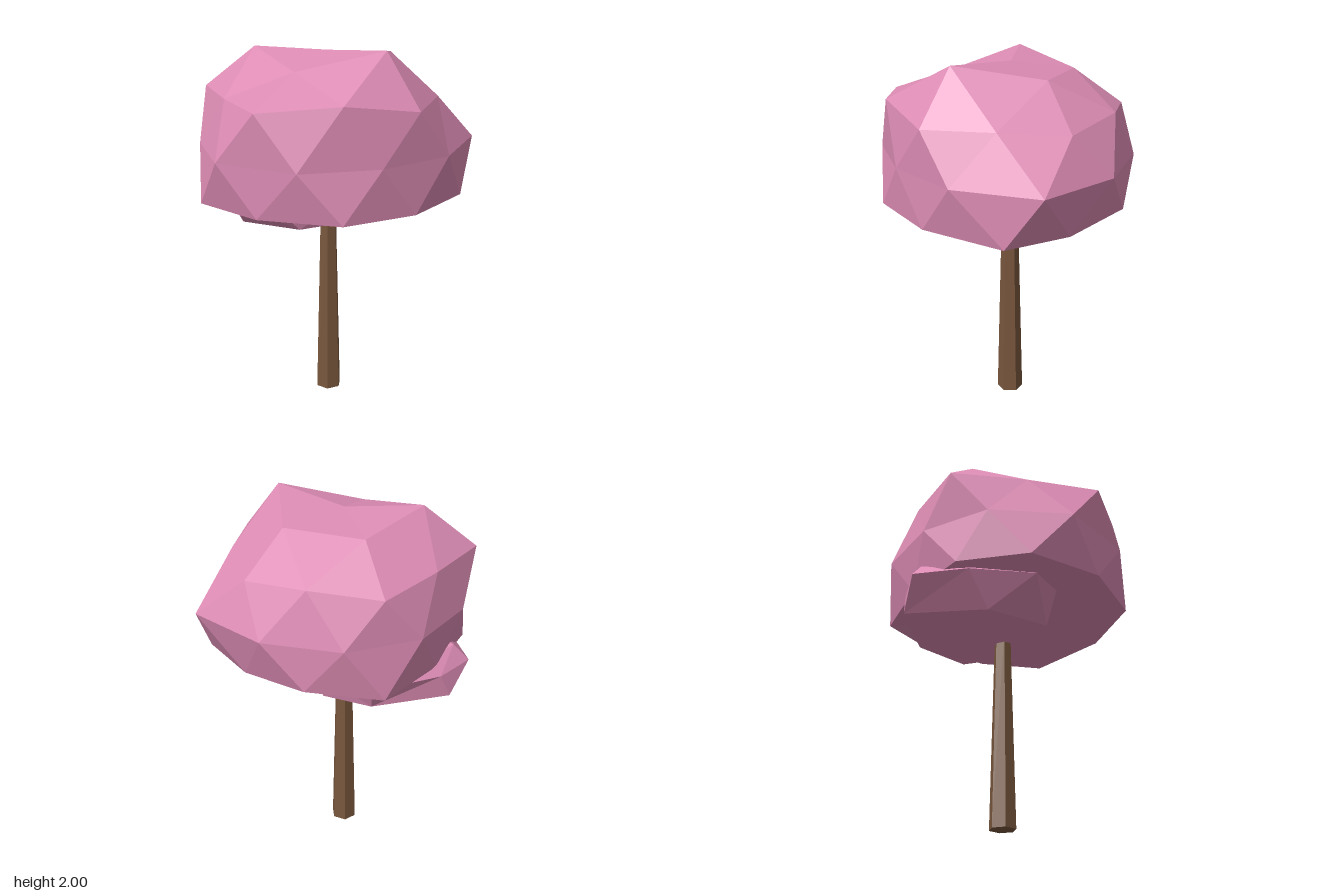
import * as THREE from 'three';
import { ConvexGeometry } from 'three/addons/geometries/ConvexGeometry.js';

const pink = new THREE.MeshStandardMaterial({ color: 0xdd8cb4, flatShading: true });
pink.name = 'blossom pink';
const brown = new THREE.MeshStandardMaterial({ color: 0x79573d, flatShading: true });
brown.name = 'bark brown';

// Faceted clump: points are joined by direction from the centre, so slight dents survive
function clump(name, centre, points) {
  const c = new THREE.Vector3(...centre);
  const real = points.map((p) => new THREE.Vector3(...p));
  const dirs = real.map((p) => p.clone().sub(c).multiply(new THREE.Vector3(1, 1.4, 1)).normalize());
  const geometry = new ConvexGeometry(dirs);
  const pos = geometry.attributes.position;
  const v = new THREE.Vector3();
  for (let i = 0; i < pos.count; i++) {
    v.fromBufferAttribute(pos, i);
    let best = 0;
    dirs.forEach((d, k) => {
      if (d.distanceToSquared(v) < dirs[best].distanceToSquared(v)) best = k;
    });
    pos.setXYZ(i, real[best].x, real[best].y, real[best].z);
  }
  geometry.computeVertexNormals();
  const mesh = new THREE.Mesh(geometry, pink);
  mesh.name = name;
  return mesh;
}

export function createModel() {
  const tree = new THREE.Group();
  tree.name = 'blossomTree';

  // Tapered hexagonal trunk
  const trunkGeometry = new THREE.CylinderGeometry(0.045, 0.073, 1.12, 6);
  trunkGeometry.rotateY(Math.PI / 6);
  const trunk = new THREE.Mesh(trunkGeometry, brown);
  trunk.name = 'trunk';
  trunk.position.set(-0.022, 0.56, -0.007);
  tree.add(trunk);

  // Main crown: top, shoulder ring, widest ring, lower rim, flat underside
  tree.add(clump('mainCrown', [-0.02, 1.47, 0], [
    [0.11, 2, 0.4], [-0.02, 1.96, -0.01], [-0.29, 1.89, 0.18],
    [-0.34, 1.97, -0.25], [0.09, 1.91, -0.33], [0.35, 1.93, -0.01],
    [-0.59, 1.75, 0.4], [-0.22, 1.79, 0.61], [0.19, 1.73, 0.61], [0.45, 1.74, 0.33], [0.58, 1.71, -0.01],
    [0.45, 1.75, -0.35], [0.17, 1.71, -0.59], [-0.2, 1.74, -0.53], [-0.57, 1.75, -0.41], [-0.6, 1.75, 0],
    [0.735, 1.48, 0.235], [0.39, 1.48, 0.56], [-0.03, 1.48, 0.65], [-0.44, 1.48, 0.56], [-0.725, 1.48, 0.21],
    [-0.67, 1.48, -0.23], [-0.4, 1.48, -0.52], [-0.02, 1.48, -0.65], [0.37, 1.48, -0.54], [0.64, 1.48, -0.22],
    [-0.74, 1.21, -0.02], [-0.58, 1.22, 0.38], [-0.24, 1.22, 0.65], [0.18, 1.21, 0.61], [0.59, 1.2, 0.37],
    [0.6, 1.2, 0], [0.5, 1.24, -0.39], [0.18, 1.19, -0.62], [-0.22, 1.21, -0.54], [-0.56, 1.22, -0.37],
    [-0.02, 1.19, 0],
  ]));

  // Smaller clump tucked under the back right of the crown
  tree.add(clump('lowerCrown', [-0.15, 1.2, -0.18], [
    [-0.15, 1.38, -0.18],
    [0.18, 1.28, -0.35], [-0.35, 1.29, -0.52], [-0.45, 1.3, -0.1], [0.1, 1.3, 0.08],
    [0.29, 1.19, -0.2], [0.2, 1.19, 0.08], [-0.07, 1.19, 0.22], [-0.41, 1.2, 0.2], [-0.57, 1.2, 0.05],
    [-0.54, 1.2, -0.3], [-0.42, 1.2, -0.57], [-0.22, 1.17, -0.58], [0.17, 1.18, -0.5],
    [-0.46, 1.02, -0.18], [-0.27, 1.06, 0.18], [0.13, 1.06, 0.17], [0.24, 1.02, -0.18],
    [0.13, 1.05, -0.45], [-0.28, 1.04, -0.59], [-0.15, 1.02, -0.18],
  ]));

  return tree;
}
